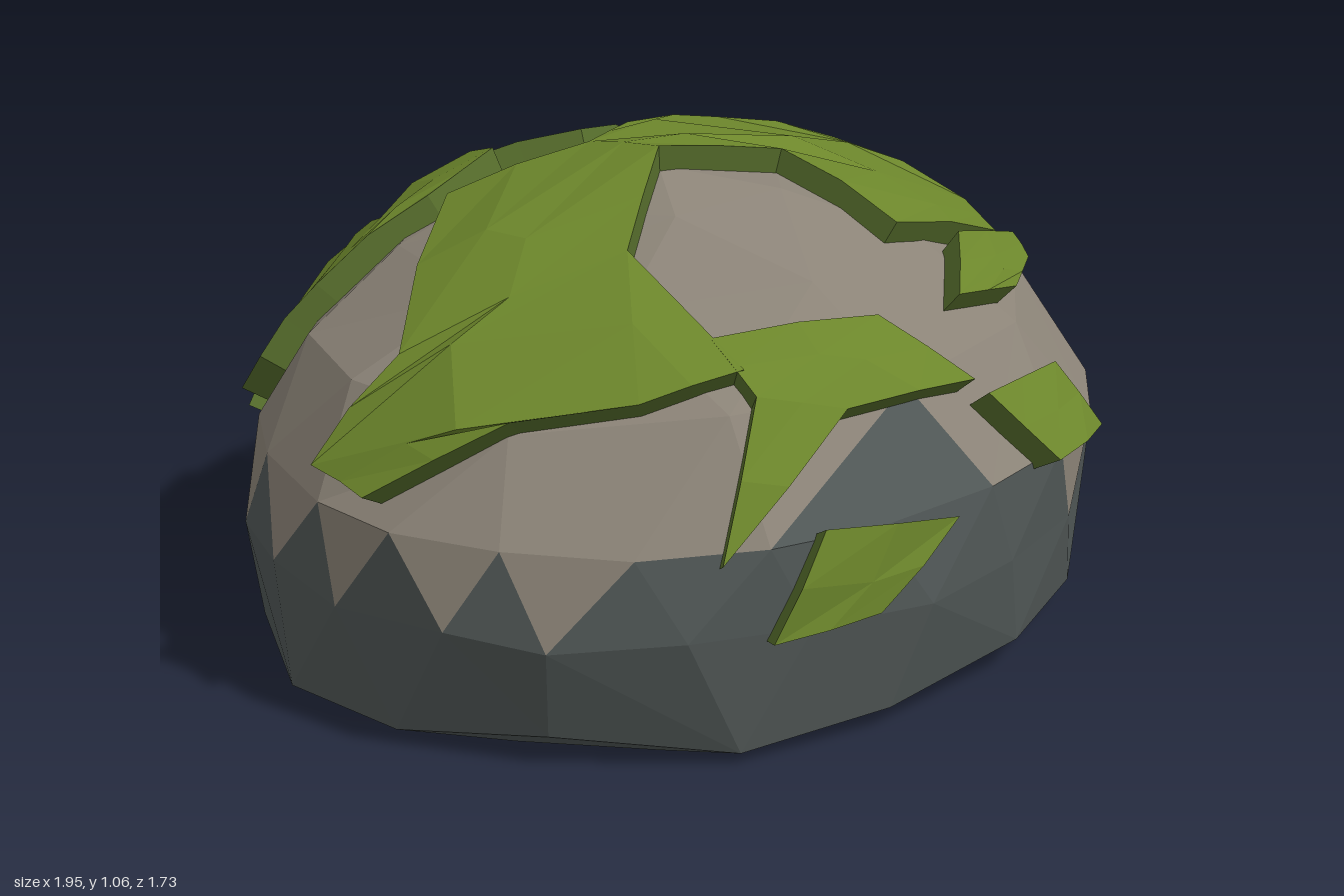
import * as THREE from 'three';

const CENTRE = new THREE.Vector3(-0.02, 0.2, 0);
const ROOT = new THREE.Vector3(-0.02, 0, 0);
const MOSS_RISE = 1.07;

// Small repeatable wobble in -1..1
const wobble = (i, k) => {
  const s = Math.sin(i * 127.1 + k * 311.7) * 43758.5453;
  return (s - Math.floor(s)) * 2 - 1;
};

function geometryFrom(triangles) {
  const geo = new THREE.BufferGeometry().setFromPoints(triangles.flat());
  geo.computeVertexNormals();
  return geo;
}

// Rock cross-sections: height, radius, corner count, starting step, height wobble, centre x, centre z
const RINGS = [
  [0, 0.85, 16, 0, 0, -0.02, -0.01],
  [0.045, 0.97, 16, 0.5, 0.025, -0.02, -0.02],
  [0.28, 1.0, 22, 0, 0.015, -0.02, -0.01],
  [0.46, 0.98, 22, 0.5, 0.01, -0.01, 0],
  [0.67, 0.84, 12, 0.2, 0.02, -0.01, -0.02],
  [0.84, 0.61, 9, 0.5, 0.015, -0.01, -0.05],
  [0.95, 0.32, 6, 0.1, 0.01, -0.06, -0.02],
];

function makeRing([y, r, n, shift, jitter, cx, cz], k) {
  return Array.from({ length: n }, (_, i) => {
    const a = ((i + shift + wobble(i, k) * 0.12) / n) * Math.PI * 2;
    const rr = r * (1 + wobble(i, k + 20) * 0.014);
    const p = new THREE.Vector3(Math.cos(a) * rr * 0.975 + cx, y + jitter * wobble(i, k + 40), Math.sin(a) * rr * 0.85 + cz);
    return { p, a };
  });
}

// Join two rings of any corner counts, walking round by angle
function stitch(low, high, add) {
  const at = (ring, i) => ring[i % ring.length];
  const angle = (ring, i) => at(ring, i).a + Math.floor(i / ring.length) * Math.PI * 2;
  let i = 0, j = 0;
  while (i < low.length || j < high.length) {
    const a = at(low, i).p, b = at(high, j).p;
    const stepLow = j >= high.length || (i < low.length && angle(low, i + 1) <= angle(high, j + 1));
    if (stepLow) add([a, b, at(low, ++i).p], false);
    else add([a, b, at(high, ++j).p], true);
  }
}

function rockTriangles() {
  const light = [], dark = [];
  const rings = RINGS.map(makeRing);
  for (let k = 0; k < rings.length - 1; k++) {
    stitch(rings[k], rings[k + 1], (tri, pointsDown) => {
      const x = (tri[0].x + tri[1].x + tri[2].x) / 3;
      // Alternate triangles make the jagged colour border, filled in at the front
      const atFront = tri[0].z > 0.4;
      const stain = k === 3 && atFront && x > -0.36 && x < 0.0;
      const filled = k === 2 && atFront && x > -0.75 && x < 0.18;
      const isDark = k < 2 || (k === 2 && !pointsDown) || stain || filled;
      (isDark ? dark : light).push(tri);
    });
  }
  const peak = new THREE.Vector3(-0.15, 1.015, 0.07);
  const floor = new THREE.Vector3(0, 0, 0);
  const top = rings[rings.length - 1], base = rings[0];
  top.forEach((v, i) => light.push([v.p, peak, top[(i + 1) % top.length].p]));
  base.forEach((v, i) => dark.push([v.p, base[(i + 1) % base.length].p, floor]));
  return { light, dark };
}

// Moss outlines: top uses (x, z); front and back use (x, y); side uses (z, y)
const PATCHES = [
  ['crownMoss', 'top', [[-0.97, -0.1], [-0.8, -0.02], [-0.4, -0.3], [-0.18, -0.1], [0.05, -0.21], [0.35, -0.22],
    [0.51, -0.02], [0.62, 0.27], [0.55, 0.41], [0.2, 0.42], [0.12, 0.17], [-0.17, 0.09], [-0.41, 0.23],
    [-0.43, 0.56], [-0.62, 0.46], [-0.8, 0.29], [-0.98, 0.06]]],
  ['frontMoss', 'front', [[-0.43, 0.81], [-0.08, 0.8], [0.06, 0.66], [-0.28, 0.68], [-0.64, 0.46], [-0.45, 0.73]]],
  ['lowFrontMoss', 'front', [[-0.44, 0.5], [-0.14, 0.46], [-0.34, 0.31], [-0.56, 0.29]]],
  ['smallFrontMoss', 'front', [[0.08, 0.63], [0.34, 0.62], [0.41, 0.48], [0.19, 0.48]]],
  ['shoulderMoss', 'top', [[0.2, 0.59], [0.37, 0.45], [0.64, 0.39], [0.58, 0.48], [0.38, 0.6]]],
  ['sideMoss', 'side', [[0.22, 0.63], [0, 0.59], [-0.22, 0.67], [-0.08, 0.53], [0.1, 0.53]]],
  ['backMossA', 'top', [[-0.07, -0.62], [0.27, -0.66], [0, -0.75], [0.19, -0.86], [0.44, -0.78], [0.64, -0.55],
    [0.64, -0.41], [0.41, -0.48], [0.13, -0.43]]],
  ['backMossB', 'top', [[-0.72, -0.61], [-0.43, -0.7], [-0.42, -0.6], [-0.26, -0.71], [-0.41, -0.5], [-0.08, -0.62],
    [-0.19, -0.38], [-0.4, -0.36], [-0.63, -0.46], [-0.74, -0.52]]],
  ['lowBackMoss', 'back', [[-0.6, 0.4], [-0.33, 0.37], [-0.45, 0.55]]],
];

const VIEW = {
  top: [new THREE.Vector3(0, 1, 0), (u, v) => new THREE.Vector3(u, 0.2, v)],
  front: [new THREE.Vector3(0, 0, 1), (u, v) => new THREE.Vector3(u, v, 0)],
  back: [new THREE.Vector3(0, 0, -1), (u, v) => new THREE.Vector3(u, v, 0)],
  side: [new THREE.Vector3(1, 0, 0), (u, v) => new THREE.Vector3(0, v, u)],
};

function mossTriangles(probe, view, outline) {
  const ray = new THREE.Raycaster();
  const hit = (from, dir) => {
    ray.set(from, dir);
    return ray.intersectObject(probe)[0]?.point;
  };
  const [axis, place] = VIEW[view];
  // Drop an outline point onto the raised rock surface
  const drop = ([u, v]) => {
    const p = place(u, v);
    for (let i = 0; i < 30; i++) {
      const found = hit(p.clone().addScaledVector(axis, 3), axis.clone().negate());
      if (found) return found;
      p.lerp(CENTRE, 0.02);
    }
    return p;
  };
  const radial = (p) => {
    const dir = p.clone().sub(CENTRE).normalize();
    return hit(CENTRE.clone().addScaledVector(dir, 3), dir.clone().negate()) ?? p;
  };
  const corners = outline.map(drop);
  const flat = outline.map(([u, v]) => new THREE.Vector2(u, v));
  const faces = THREE.ShapeUtils.triangulateShape(flat, []).map((f) => f.map((i) => corners[i]));
  // Split once so the sheet follows the dome
  let tris = faces.flatMap(([a, b, c]) => {
    const [ab, bc, ca] = [[a, b], [b, c], [c, a]].map(([p, q]) => radial(p.clone().add(q).multiplyScalar(0.5)));
    return [[a, ab, ca], [ab, b, bc], [ca, bc, c], [ab, bc, ca]];
  });
  // Turn the whole sheet to face outward
  let facing = 0;
  for (const [a, b, c] of tris) {
    facing += b.clone().sub(a).cross(c.clone().sub(a)).dot(a.clone().sub(CENTRE));
  }
  if (facing < 0) tris = tris.map(([a, b, c]) => [a, c, b]);
  // Walls along every edge used only once
  const key = (p) => p.toArray().map((n) => Math.round(n * 1e4)).join();
  const edges = new Map();
  for (const t of tris) t.forEach((a, i) => edges.set(key(a) + '|' + key(t[(i + 1) % 3]), [a, t[(i + 1) % 3]]));
  const walls = [];
  for (const [a, b] of edges.values()) {
    if (edges.has(key(b) + '|' + key(a))) continue;
    const [a2, b2] = [a, b].map((p) => p.clone().lerp(ROOT, 0.1));
    walls.push([b, a, a2], [b, a2, b2]);
  }
  return { sheet: tris, walls };
}

export function createModel() {
  const material = (name, color) => {
    const m = new THREE.MeshStandardMaterial({ color, flatShading: true });
    m.name = name;
    return m;
  };
  const stone = material('light stone', 0x8b8377);
  const darkStone = material('dark stone', 0x515857);
  const moss = material('moss', 0x6c862b);
  const mossEdge = material('moss edge', 0x566d2c);

  const model = new THREE.Group();
  model.name = 'mossyRock';
  const add = (parent, name, triangles, mat) => {
    const mesh = new THREE.Mesh(geometryFrom(triangles), mat);
    mesh.name = name;
    parent.add(mesh);
  };

  // Rock
  const { light, dark } = rockTriangles();
  add(model, 'upperRock', light, stone);
  add(model, 'lowerRock', dark, darkStone);

  // Slightly enlarged rock that the moss is laid on
  const shell = geometryFrom([...light, ...dark]);
  shell.translate(-CENTRE.x, -CENTRE.y, -CENTRE.z).scale(MOSS_RISE, MOSS_RISE, MOSS_RISE).translate(CENTRE.x, CENTRE.y, CENTRE.z);
  const probe = new THREE.Mesh(shell, new THREE.MeshBasicMaterial({ side: THREE.DoubleSide }));

  // Moss patches
  for (const [name, view, outline] of PATCHES) {
    const patch = new THREE.Group();
    patch.name = name;
    const { sheet, walls } = mossTriangles(probe, view, outline);
    add(patch, name + 'Top', sheet, moss);
    add(patch, name + 'Rim', walls, mossEdge);
    model.add(patch);
  }
  return model;
}
